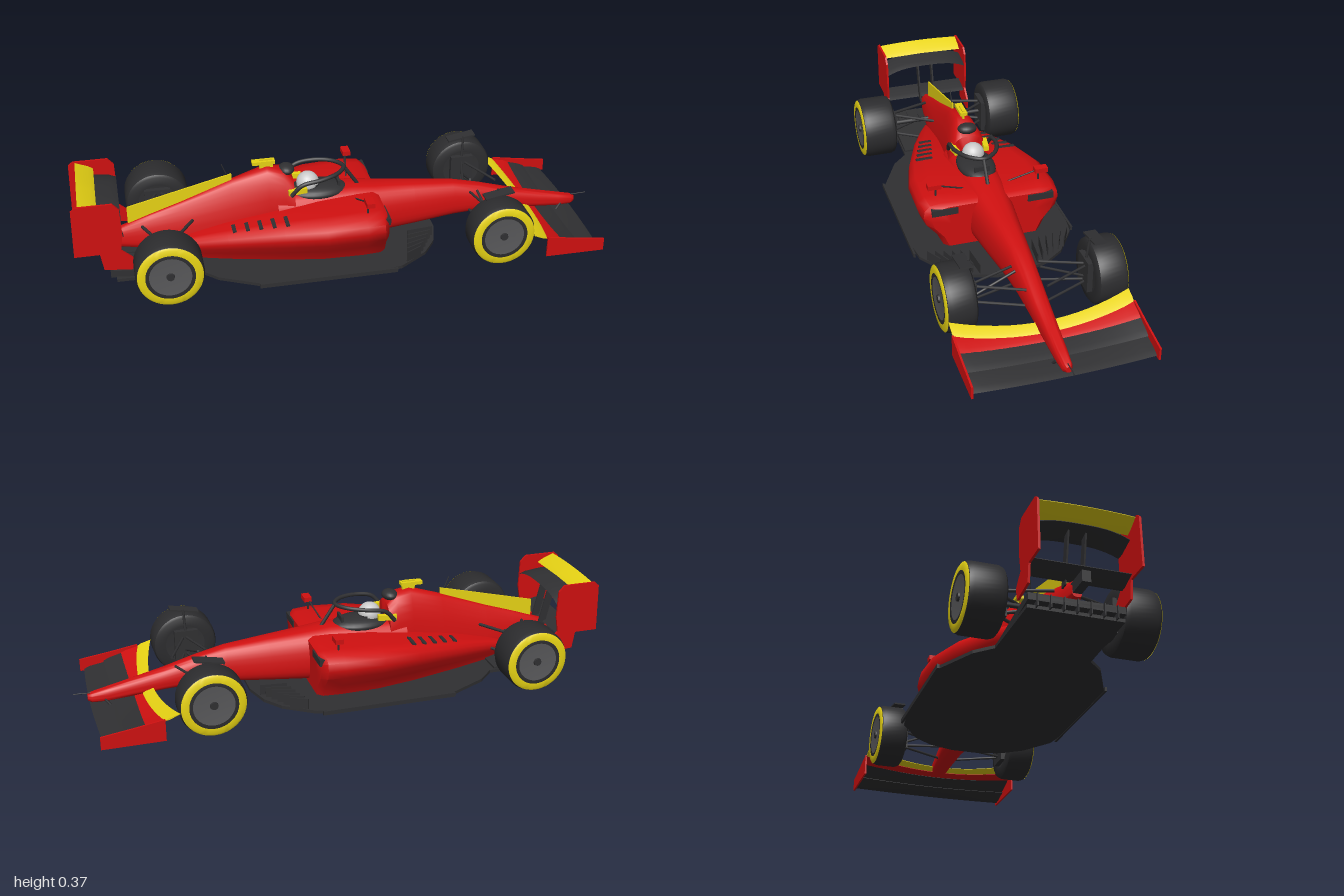
import * as THREE from 'three';
import { toCreasedNormals, mergeVertices } from 'three/addons/utils/BufferGeometryUtils.js';

const mat = (color) => new THREE.MeshStandardMaterial({ color, side: THREE.DoubleSide });
const RED = mat(0xd01010), DARK = mat(0x303032), YELLOW = mat(0xe8d414), GREY = mat(0x58585a), TYRE = mat(0x2c2c2e), PALE = mat(0xcccccc);
const V = (x, y, z) => new THREE.Vector3(x, y, z);

export function createModel() {
  const car = new THREE.Group();
  const add = (name, geo, material, x = 0, y = 0, z = 0) => {
    const m = new THREE.Mesh(geo, material);
    m.name = name;
    m.position.set(x, y, z);
    car.add(m);
    return m;
  };
  const box = (name, material, w, h, d, x, y, z) => add(name, new THREE.BoxGeometry(w, h, d), material, x, y, z);

  // Skin over a row of closed rings, capped at both ends, turned to face outwards
  function loft(rings, crease = 0.7) {
    const n = rings[0].length, pos = [], tris = [];
    rings.forEach((r) => r.forEach((p) => pos.push(p.x, p.y, p.z)));
    for (let i = 0; i < rings.length - 1; i++)
      for (let j = 0; j < n; j++) {
        const a = i * n + j, b = i * n + (j + 1) % n;
        tris.push(a, b, b + n, a, b + n, a + n);
      }
    [0, rings.length - 1].forEach((i, end) => {
      const c = rings[i].reduce((s, p) => s.add(p), V(0, 0, 0)).divideScalar(n), k = pos.length / 3;
      pos.push(c.x, c.y, c.z);
      for (let j = 0; j < n; j++) {
        const a = i * n + j, b = i * n + (j + 1) % n;
        tris.push(k, end ? a : b, end ? b : a);
      }
    });
    const P = (i) => V(pos[i * 3], pos[i * 3 + 1], pos[i * 3 + 2]);
    let volume = 0;
    for (let i = 0; i < tris.length; i += 3) volume += P(tris[i]).dot(P(tris[i + 1]).cross(P(tris[i + 2])));
    if (volume < 0) tris.reverse();
    const g = new THREE.BufferGeometry();
    g.setAttribute('position', new THREE.Float32BufferAttribute(pos, 3));
    g.setIndex(tris);
    return toCreasedNormals(g, crease);
  }

  // Rounded body ring: bottom, top, half width, narrowing upwards by taper
  const ring = (x, yb, yt, w, taper) => Array.from({ length: 28 }, (_, i) => {
    const a = i / 28 * Math.PI * 2, s = Math.sin(a), c = Math.cos(a);
    const f = (v, p) => Math.sign(v) * Math.abs(v) ** p;
    return V(x, (yb + yt) / 2 + (yt - yb) / 2 * f(s, 0.8), w * f(c, 0.6) * (1 - taper * (s + 1) / 2));
  });
  const body = (rows) => loft(rows.map((r) => ring(...r)), 0.9);

  // Wing element spanning z; edge(t) gives [leadX, leadY, trailX, trailY] for t = |z| / half
  const wing = (half, thick, edge) => loft(Array.from({ length: 17 }, (_, i) => {
    const t = i / 8 - 1, [lx, ly, tx, ty] = edge(Math.abs(t));
    const mid = (k, up) => V(lx + (tx - lx) * k, ly + (ty - ly) * k + up, t * half);
    return [mid(0, 0), mid(0.25, thick / 2), mid(1, 0.001), mid(1, -0.001), mid(0.3, -thick / 2)];
  }), 0.9);

  // Flat plate drawn in side view
  const plate = (points, depth) => new THREE.ExtrudeGeometry(
    new THREE.Shape(points.map((p) => new THREE.Vector2(...p))), { depth, bevelEnabled: false }).translate(0, 0, -depth / 2);

  // Straight rod between two points
  function rod(name, a, b, r, material = DARK) {
    const d = b.clone().sub(a);
    const m = add(name, new THREE.CylinderGeometry(r, r, d.length(), 8), material);
    m.position.copy(a).add(b).multiplyScalar(0.5);
    m.quaternion.setFromUnitVectors(V(0, 1, 0), d.normalize());
  }
  const curve = (pts) => new THREE.CatmullRomCurve3(pts);

  // Nose and tub, then engine cover
  add('noseAndTub', body([
    [0.95, 0.05, 0.073, 0.01, 0.2], [0.935, 0.043, 0.08, 0.02, 0.2], [0.88, 0.043, 0.092, 0.027, 0.25],
    [0.8, 0.05, 0.11, 0.033, 0.3], [0.67, 0.063, 0.14, 0.042, 0.3], [0.55, 0.07, 0.174, 0.052, 0.35],
    [0.44, 0.066, 0.199, 0.062, 0.35], [0.28, 0.052, 0.215, 0.083, 0.35], [0.13, 0.04, 0.228, 0.1, 0.3],
    [0.04, 0.04, 0.238, 0.105, 0.25], [-0.1, 0.04, 0.238, 0.11, 0.2], [-0.25, 0.04, 0.24, 0.11, 0.2]]), RED);
  add('engineCover', body([
    [-0.185, 0.04, 0.3, 0.1, 0.3], [-0.22, 0.04, 0.333, 0.1, 0.4], [-0.28, 0.04, 0.345, 0.1, 0.5],
    [-0.41, 0.04, 0.305, 0.092, 0.7], [-0.6, 0.05, 0.235, 0.07, 0.75], [-0.72, 0.06, 0.195, 0.05, 0.7],
    [-0.83, 0.075, 0.155, 0.03, 0.5], [-0.87, 0.08, 0.14, 0.02, 0.4]]), RED);
  add('airIntake', new THREE.SphereGeometry(1, 20, 12).scale(0.03, 0.02, 0.038), DARK, -0.205, 0.325, 0);
  add('engineFin', plate([[-0.8, 0.165], [-0.41, 0.295], [-0.41, 0.328], [-0.8, 0.232]], 0.006), YELLOW);
  box('cameraMast', YELLOW, 0.05, 0.04, 0.008, -0.28, 0.355, 0);
  box('cameraPod', YELLOW, 0.085, 0.013, 0.028, -0.29, 0.363, 0);
  rod('antenna', V(-0.42, 0.305, 0), V(-0.445, 0.37, 0), 0.002);
  rod('noseProbe', V(0.93, 0.077, 0), V(1, 0.08, 0), 0.002);
  box('rearCrashStructure', DARK, 0.1, 0.04, 0.03, -0.9, 0.112, 0);

  // Cockpit, driver and halo
  add('cockpitOpening', new THREE.SphereGeometry(1, 28, 14).scale(0.115, 0.03, 0.072), DARK, -0.09, 0.228, 0);
  add('helmet', new THREE.SphereGeometry(0.043, 24, 16), PALE, -0.125, 0.259, 0);
  add('visor', new THREE.CylinderGeometry(0.045, 0.045, 0.022, 20, 1, true, 0.5, Math.PI - 1), DARK, -0.125, 0.25, 0);
  add('steeringWheel', new THREE.BoxGeometry(0.01, 0.035, 0.06), DARK, -0.01, 0.248, 0);
  add('halo', new THREE.TubeGeometry(curve([
    V(-0.2, 0.25, 0.078), V(-0.16, 0.293, 0.085), V(-0.09, 0.306, 0.083), V(-0.02, 0.311, 0.052), V(0.012, 0.312, 0),
    V(-0.02, 0.311, -0.052), V(-0.09, 0.306, -0.083), V(-0.16, 0.293, -0.085), V(-0.2, 0.25, -0.078)]), 48, 0.008, 8), DARK);
  rod('haloPost', V(0.012, 0.312, 0), V(0.07, 0.225, 0), 0.007);

  // Floor outline, mirrored about the centre line
  const half = [[0.36, 0.05], [0.33, 0.15], [0.28, 0.22], [0.17, 0.295], [0.1, 0.305], [-0.35, 0.305], [-0.5, 0.23], [-0.56, 0.17], [-0.86, 0.165]];
  const outline = [...half, ...half.map(([x, z]) => [x, -z]).reverse()];
  add('floor', plate(outline, 0.012).rotateX(Math.PI / 2), DARK, 0, 0.027, 0);
  add('diffuser', loft([[-0.58, 0.03, 0.04], [-0.72, 0.03, 0.055], [-0.87, 0.045, 0.07]].map(([x, b, t]) =>
    [V(x, b, -0.165), V(x, b, 0.165), V(x, t, 0.165), V(x, t, -0.165)])), DARK);
  for (let i = -3; i <= 3; i++) box('diffuserStrake', DARK, 0.1, 0.045, 0.004, -0.83, 0.046, i * 0.045);

  // Front wing, from leading element to top flap
  add('frontWingMain', wing(0.322, 0.01, (t) => [0.942 - 0.012 * t * t, 0.025, 0.84, 0.035 + 0.01 * t * t]), DARK);
  add('frontWingSecond', wing(0.322, 0.008, (t) => [0.855, 0.037 + 0.012 * t * t, 0.765, 0.052 + 0.026 * t * t]), DARK);
  add('frontWingThird', wing(0.322, 0.007, (t) => [0.785, 0.05 + 0.024 * t * t, 0.735 - 0.02 * t * t, 0.064 + 0.03 * t * t]), RED);
  add('frontWingFlap', wing(0.322, 0.007, (t) => [0.755 - 0.035 * t * t, 0.063 + 0.03 * t * t, 0.715 - 0.048 * t * t, 0.08 + 0.032 * t * t]), YELLOW);

  // Rear wing
  add('rearWingMain', wing(0.17, 0.012, (t) => [-0.825, 0.3 - 0.028 * t ** 3, -0.92, 0.318 - 0.028 * t ** 3]), DARK);
  add('rearWingFlap', wing(0.168, 0.008, (t) => [-0.905, 0.32 - 0.004 * t, -0.97, 0.352 - 0.006 * t * t]), YELLOW);
  add('beamWing', wing(0.17, 0.01, () => [-0.84, 0.145, -0.92, 0.165]), DARK);

  // Section through one sidepod, undercut below its shoulder
  const podRing = (x, yt, zo, s) => {
    const yb = 0.033, h = yt - yb;
    return [[yt, 0.02], [yt, zo * 0.72], [yt - h * 0.04, zo * 0.9], [yt - h * 0.14, zo * 0.98], [yt - h * 0.3, zo],
      [yt - h * 0.48, zo * 0.96], [yt - h * 0.75, zo * 0.8], [yb, zo * 0.72], [yb, 0.02]].map(([y, z]) => V(x, y, z * s));
  };

  for (const s of [1, -1]) {
    // Sidepods with intakes and louvres
    add('sidepod', loft([[0.135, 0.205, 0.235], [0.115, 0.216, 0.262], [0.05, 0.219, 0.27], [-0.1, 0.213, 0.265], [-0.25, 0.196, 0.228],
      [-0.45, 0.155, 0.158], [-0.6, 0.115, 0.095], [-0.7, 0.08, 0.05]].map(([x, y, z]) => podRing(x, y, z, s)), 0.8), RED);
    box('sidepodIntake', DARK, 0.02, 0.026, 0.1, 0.13, 0.188, s * 0.185);
    for (let i = 0; i < 5; i++) {
      const x = -0.235 - i * 0.047;
      const m = box('louvre', DARK, 0.014, 0.006, 0.065 - i * 0.004, x, 0.199 + (x + 0.235) * 0.2, s * (0.168 - i * 0.013));
      m.rotation.z = 0.2;
    }
    box('headrest', YELLOW, 0.07, 0.02, 0.02, -0.175, 0.26, s * 0.063).rotation.y = s * 0.15;

    // Mirrors on stalks
    box('mirror', RED, 0.03, 0.018, 0.05, 0.065, 0.262, s * 0.208);
    rod('mirrorStalk', V(0.06, 0.21, s * 0.2), V(0.06, 0.258, s * 0.2), 0.004);
    rod('mirrorBrace', V(0.04, 0.215, s * 0.085), V(0.06, 0.256, s * 0.19), 0.003);

    // Floor edge and turning vanes
    box('floorEdge', DARK, 0.51, 0.016, 0.008, -0.105, 0.027, s * 0.309);
    for (let i = 0; i < 6; i++)
      box('turningVane', DARK, 0.1 - i * 0.006, 0.045, 0.004, 0.285 - i * 0.012, 0.05, s * (0.115 + i * 0.028)).rotation.y = s * (0.1 + i * 0.08);

    // Wing end plates and mounts
    add('frontEndPlate', plate([[0.72, 0.018], [0.945, 0.018], [0.945, 0.066], [0.83, 0.082], [0.72, 0.1]], 0.007), RED, 0, 0, s * 0.323);
    rod('frontWingMount', V(0.89, 0.055, s * 0.02), V(0.87, 0.03, s * 0.027), 0.005);
    add('rearEndPlate', plate([[-0.91, 0.15], [-0.9, 0.085], [-0.8, 0.075], [-0.79, 0.12], [-0.835, 0.16], [-0.825, 0.22], [-0.828, 0.325],
      [-0.85, 0.35], [-0.978, 0.35], [-0.995, 0.335], [-1, 0.15]], 0.008), RED, 0, 0, s * 0.172);
    add('rearWingPillar', plate([[-0.85, 0.13], [-0.82, 0.13], [-0.86, 0.31], [-0.89, 0.31]], 0.006), DARK, 0, 0, s * 0.03);

    // Wheels: [name, x, inner z, outer z]
    for (const [name, x, zi, zo] of [['frontWheel', 0.548, 0.215, 0.325], ['rearWheel', -0.676, 0.199, 0.334]]) {
      const wheel = new THREE.Group();
      wheel.name = name;
      const h = (zo - zi) / 2, r = 0.122;
      const profile = [[0.075, -h], [0.108, -h], [0.117, -h + 0.006], [r, -h + 0.02], [r, h - 0.02], [0.117, h - 0.006], [0.108, h], [0.075, h]];
      const turn = (pts) => toCreasedNormals(new THREE.LatheGeometry(pts.map((p) => new THREE.Vector2(...p)), 48).rotateX(Math.PI / 2), 0.6);
      const part = (n, geo, material) => { const m = new THREE.Mesh(geo, material); m.name = n; wheel.add(m); };
      part('tyre', turn(profile), TYRE);
      part('yellowBand', turn([[0.088, h + 0.001], [0.109, h + 0.001], [0.1165, h - 0.004]]), YELLOW);
      part('wheelCover', turn([[0, h - 0.004], [0.07, h - 0.002], [0.089, h]]), GREY);
      part('innerCover', turn([[0, -h + 0.01], [0.08, -h + 0.005]]), DARK);
      part('wheelNut', new THREE.CylinderGeometry(0.014, 0.016, 0.01, 12).rotateX(Math.PI / 2).translate(0, 0, h - 0.002), DARK);
      wheel.position.set(x, 0.125, s * (zi + zo) / 2);
      if (s < 0) wheel.rotation.y = Math.PI;
      car.add(wheel);
    }

    // Front suspension, brake duct and wheel winglet
    const hub = s * 0.222;
    for (const [x, y, z] of [[0.63, 0.158, 0.038], [0.5, 0.168, 0.05]]) rod('frontUpperArm', V(0.55, 0.158, hub), V(x, y, s * z), 0.005);
    for (const [x, y, z] of [[0.62, 0.085, 0.038], [0.5, 0.09, 0.05]]) rod('frontLowerArm', V(0.55, 0.092, hub), V(x, y, s * z), 0.005);
    rod('frontPushRod', V(0.55, 0.1, hub), V(0.53, 0.168, s * 0.045), 0.005);
    box('frontBrakeDuct', DARK, 0.09, 0.12, 0.02, 0.545, 0.125, s * 0.21);
    box('wheelWinglet', DARK, 0.11, 0.006, 0.045, 0.545, 0.261, s * 0.238).rotation.z = 0.18;
    rod('wingletStalk', V(0.545, 0.16, s * 0.208), V(0.55, 0.268, s * 0.218), 0.005);

    // Rear suspension
    for (const [x, y] of [[-0.56, 0.17], [-0.75, 0.16]]) rod('rearUpperArm', V(-0.676, 0.17, s * 0.21), V(x, y, s * 0.03), 0.006);
    for (const [x, y] of [[-0.55, 0.09], [-0.76, 0.09]]) rod('rearLowerArm', V(-0.676, 0.085, s * 0.21), V(x, y, s * 0.03), 0.006);
    rod('driveShaft', V(-0.676, 0.125, s * 0.21), V(-0.676, 0.125, 0), 0.009);
    box('rearBrakeDuct', DARK, 0.1, 0.13, 0.02, -0.676, 0.12, s * 0.195);
  }
  return car;
}
